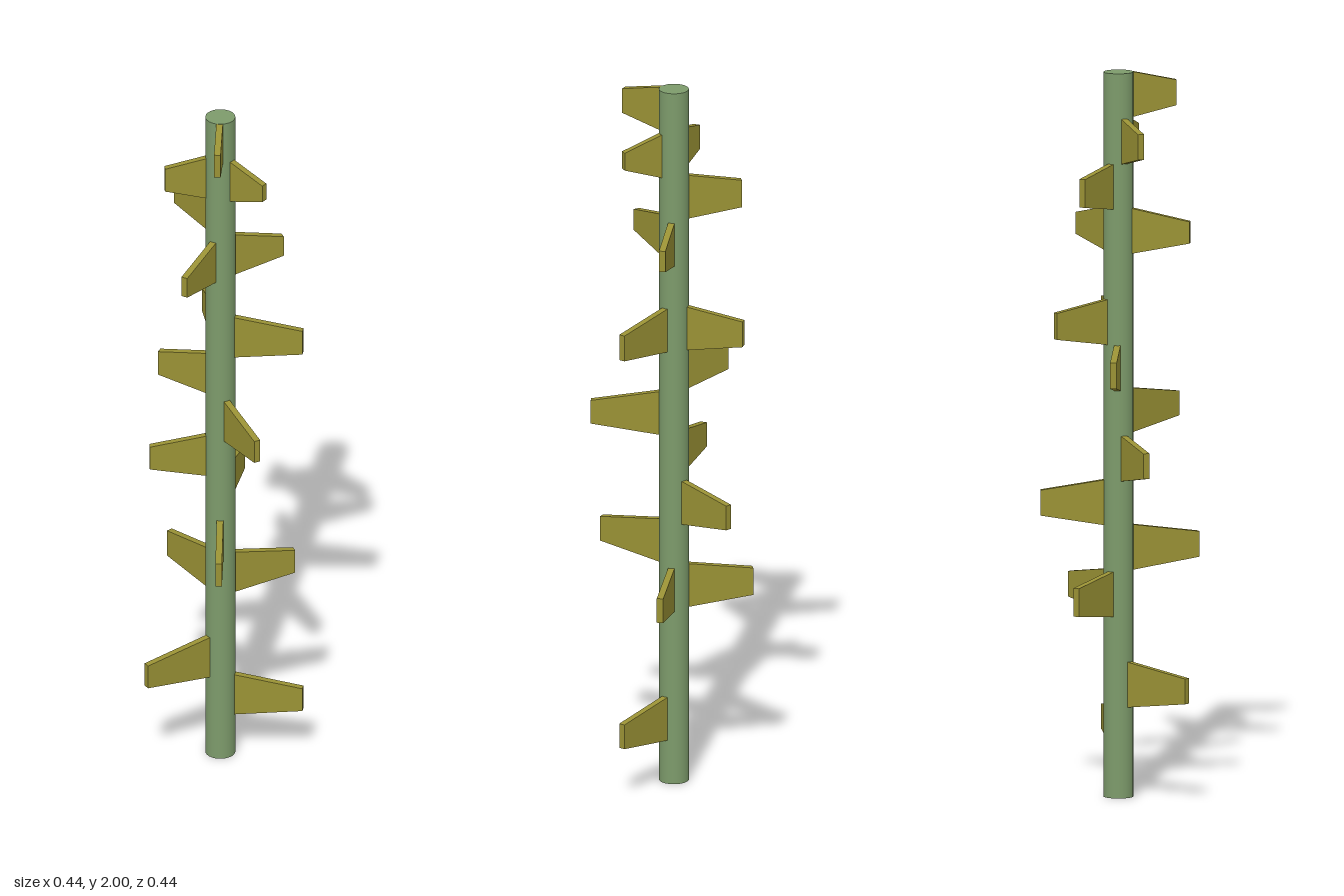
import * as THREE from 'three';

const SEGMENT = 0.125;      // stem height is divided into 16 segments
const RADIUS = 0.041;
const THICKNESS = 0.018;

// segment index, tip x and z relative to the stem, tip height
const FINS = [
  [1, 0.171, -0.151, 0.07],
  [2, -0.029, 0.238, 0.07],
  [4, -0.2185, 0, 0.078],
  [4, 0.074, -0.2, 0.07],
  [5, 0.174, 0.15, 0.07],
  [6, -0.12, -0.176, 0.07],
  [7, -0.111, 0.159, 0.07],
  [8, 0.221, 0.052, 0.067],
  [9, -0.161, 0.084, 0.072],
  [10, 0.171, -0.151, 0.073],
  [10, -0.176, -0.0925, 0.073],
  [12, 0.071, 0.186, 0.06],
  [12, 0.0625, -0.169, 0.06],
  [13, -0.187, 0, 0.078],
  [14, 0.146, -0.035, 0.05],
  [14, -0.086, 0.126, 0.07],
  [15, 0.12, 0.11, 0.07],
];

// Tapered slab reaching outward along +x
function finGeometry(length, tipHeight) {
  const root = SEGMENT / 2, tip = tipHeight / 2, start = RADIUS * 0.95;
  const shape = new THREE.Shape([
    new THREE.Vector2(start, -root),
    new THREE.Vector2(length, -tip),
    new THREE.Vector2(length, tip),
    new THREE.Vector2(start, root),
  ]);
  const geometry = new THREE.ExtrudeGeometry(shape, { depth: THICKNESS, bevelEnabled: false });
  return geometry.translate(0, 0, -THICKNESS / 2);
}

export function createModel() {
  const model = new THREE.Group();
  model.name = 'finnedStem';
  const stemMaterial = new THREE.MeshStandardMaterial({ color: 0x7d9b6b });
  const finMaterial = new THREE.MeshStandardMaterial({ color: 0x9a9235 });

  // Round stem
  const stem = new THREE.Mesh(new THREE.CylinderGeometry(RADIUS, RADIUS, 2, 24), stemMaterial);
  stem.name = 'stem';
  stem.position.y = 1;
  model.add(stem);

  // Fins scattered around the stem
  FINS.forEach(([segment, x, z, tipHeight], i) => {
    const fin = new THREE.Mesh(finGeometry(Math.hypot(x, z), tipHeight), finMaterial);
    fin.name = `fin${i + 1}`;
    fin.position.y = (segment + 0.5) * SEGMENT;
    fin.rotation.y = -Math.atan2(z, x);
    model.add(fin);
  });

  // Centre the whole outline, fins included
  model.position.set(-0.003, 0, -0.02);
  return model;
}
